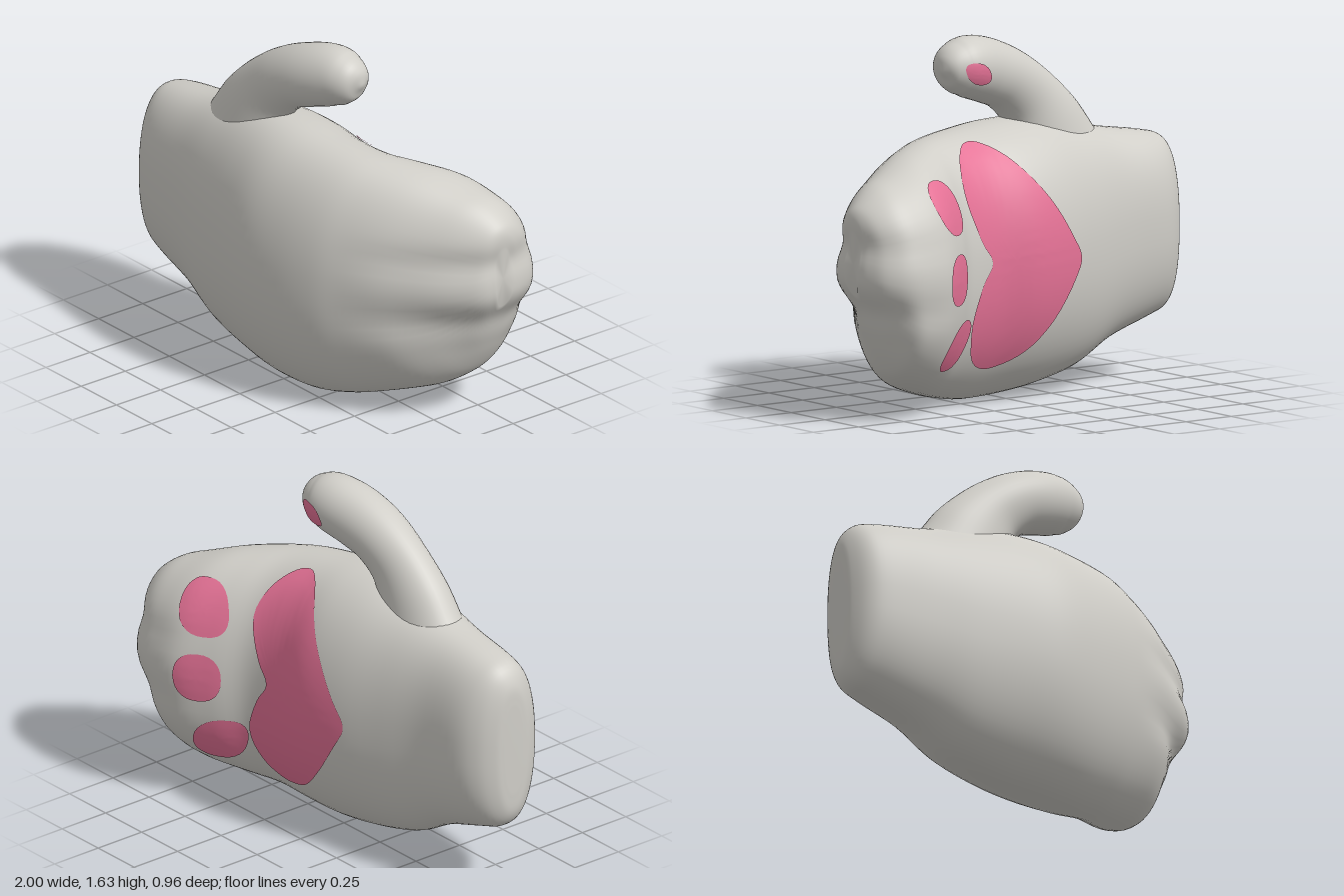
import * as THREE from 'three';

const SIDES = 64;
const smooth = THREE.MathUtils.smoothstep;
const signedPow = (v, p) => Math.sign(v) * Math.abs(v) ** p;

// Skin a list of equal rings and close both ends
function loft(rings) {
  const n = rings[0].length, last = (rings.length - 1) * n;
  const points = rings.flat(), index = [];
  for (let i = 0; i < rings.length - 1; i++) {
    for (let j = 0; j < n; j++) {
      const a = i * n + j, b = i * n + (j + 1) % n;
      index.push(a, b, a + n, b, b + n, a + n);
    }
  }
  const middle = ring => ring.reduce((s, p) => s.add(p), new THREE.Vector3()).divideScalar(n);
  const start = points.push(middle(rings[0])) - 1;
  const end = points.push(middle(rings[rings.length - 1])) - 1;
  for (let j = 0; j < n; j++) {
    const k = (j + 1) % n;
    index.push(start, k, j, end, last + j, last + k);
  }
  return finish(points, index);
}

function finish(points, index) {
  const geometry = new THREE.BufferGeometry().setFromPoints(points);
  geometry.setIndex(index);
  geometry.computeVertexNormals();
  return geometry;
}

// Mitten body: x, bottom, top, front z, back z, z of the top and bottom edge
const STATIONS = [
  [-1.0, 0.48, 0.90, 0.20, 0.10, 0.15],
  [-0.99, 0.37, 1.00, 0.25, 0.05, 0.15],
  [-0.94, 0.30, 1.08, 0.32, -0.02, 0.15],
  [-0.84, 0.265, 1.11, 0.36, -0.07, 0.15],
  [-0.62, 0.19, 1.145, 0.39, -0.10, 0.15],
  [-0.42, 0.085, 1.19, 0.43, -0.16, 0.15],
  [-0.2, 0.03, 1.23, 0.465, -0.23, 0.15],
  [0.0, 0.005, 1.23, 0.485, -0.26, 0.15],
  [0.2, 0.0, 1.21, 0.46, -0.235, 0.13],
  [0.37, 0.03, 1.19, 0.41, -0.26, 0.09],
  [0.5, 0.065, 1.17, 0.345, -0.36, 0.02],
  [0.64, 0.11, 1.14, 0.26, -0.455, -0.07],
  [0.78, 0.165, 1.09, 0.15, -0.475, -0.14],
  [0.88, 0.225, 1.05, 0.06, -0.455, -0.18],
  [0.96, 0.33, 0.99, -0.03, -0.39, -0.2],
  [0.995, 0.44, 0.94, -0.09, -0.31, -0.2],
  [1.005, 0.58, 0.86, -0.15, -0.25, -0.2],
];

function bodyGeometry() {
  const heights = new THREE.CatmullRomCurve3(
    STATIONS.map(s => new THREE.Vector3(s[0], s[1], s[2])), false, 'catmullrom', 0.5);
  const depths = new THREE.CatmullRomCurve3(
    STATIONS.map(s => new THREE.Vector3(s[3], s[4], s[5])), false, 'catmullrom', 0.5);
  const rings = [], steps = 80;
  for (let i = 0; i <= steps; i++) {
    const { x, y: low, z: high } = heights.getPoint(i / steps);
    const { x: front, y: back, z: mid } = depths.getPoint(i / steps);
    // boxier at the wrist, rounder over the palm and fingers
    const power = 2 / (2.3 - 0.2 * smooth(x, -0.8, -0.1));
    const ring = [];
    for (let j = 0; j < SIDES; j++) {
      const t = j / SIDES * Math.PI * 2;
      const y = (low + high) / 2 + (high - low) / 2 * signedPow(Math.cos(t), power);
      const w = signedPow(Math.sin(t), power);
      const depth = w * (w > 0 ? front - mid : mid - back);
      // grooves between the three fingers, and a shorter lowest finger
      const groove = Math.exp(-(((y - 0.8) / 0.065) ** 2)) * 0.7 + Math.exp(-(((y - 0.51) / 0.075) ** 2));
      const along = smooth(x, 0.4, 0.9);
      const shorter = 0.095 * smooth(x, 0.65, 1) * (1 - smooth(y, 0.34, 0.66));
      ring.push(new THREE.Vector3(
        x - shorter - 0.025 * groove * smooth(x, 0.75, 1),
        y,
        mid + depth * (1 - (w > 0 ? 0.14 : 0.05) * groove * along)));
    }
    rings.push(ring);
  }
  return loft(rings);
}

// Thumb: x, y, z, radius in the hand's plane, radius in depth
const THUMB = [
  [-0.37, 1.03, 0.15, 0.25, 0.16],
  [-0.31, 1.18, 0.15, 0.2, 0.14],
  [-0.22, 1.31, 0.145, 0.157, 0.125],
  [-0.1, 1.405, 0.135, 0.143, 0.13],
  [0.03, 1.46, 0.115, 0.145, 0.135],
  [0.15, 1.492, 0.085, 0.14, 0.13],
  [0.23, 1.495, 0.07, 0.118, 0.112],
  [0.285, 1.492, 0.055, 0.077, 0.074],
  [0.31, 1.488, 0.05, 0.012, 0.012],
];

function thumbGeometry() {
  const path = new THREE.CatmullRomCurve3(THUMB.map(s => new THREE.Vector3(s[0], s[1], s[2])), false, 'catmullrom', 0.5);
  const radii = new THREE.CatmullRomCurve3(THUMB.map(s => new THREE.Vector3(s[3], s[4], 0)), false, 'catmullrom', 0.5);
  const rings = [], steps = 40;
  for (let i = 0; i <= steps; i++) {
    const centre = path.getPoint(i / steps), r = radii.getPoint(i / steps);
    const tangent = path.getTangent(i / steps);
    const up = new THREE.Vector3(0, 0, 1).cross(tangent).normalize();
    const side = tangent.clone().cross(up);
    rings.push(Array.from({ length: 40 }, (_, j) => {
      const t = j / 40 * Math.PI * 2;
      return centre.clone().addScaledVector(up, r.x * Math.cos(t)).addScaledVector(side, r.y * Math.sin(t));
    }));
  }
  return loft(rings);
}

// Thin pad draped over the palm side of a mesh; outline runs clockwise in x, y
function padGeometry(target, centre, outline, layers) {
  const ray = new THREE.Raycaster(), forward = new THREE.Vector3(0, 0, 1);
  const drape = p => {
    ray.set(new THREE.Vector3(p.x, p.y, -2), forward);
    const hit = ray.intersectObject(target)[0];
    return hit ? hit.point.addScaledVector(hit.face.normal, 0.006) : new THREE.Vector3(p.x, p.y, 0);
  };
  const n = outline.length, points = [drape(centre)], index = [];
  for (let k = 1; k <= layers; k++) {
    for (const p of outline) points.push(drape(centre.clone().lerp(p, k / layers)));
  }
  for (let j = 0; j < n; j++) {
    const next = (j + 1) % n;
    index.push(0, 1 + j, 1 + next);
    for (let k = 0; k < layers - 1; k++) {
      const a = 1 + k * n + j, b = 1 + k * n + next;
      index.push(a, a + n, b, b, a + n, b + n);
    }
  }
  return finish(points, index);
}

// Oval leaning sideways by lean per unit of height
const oval = (x, y, rx, ry, lean) => Array.from({ length: 28 }, (_, i) => {
  const t = -i / 28 * Math.PI * 2;
  const dy = ry * signedPow(Math.sin(t), 0.85);
  return new THREE.Vector2(x + rx * signedPow(Math.cos(t), 0.85) + lean * dy, y + dy);
});

export function createModel() {
  const fabric = new THREE.MeshStandardMaterial({ color: 0xd0cec8 });
  fabric.name = 'light grey fabric';
  const pink = new THREE.MeshStandardMaterial({ color: 0xe57296 });
  pink.name = 'pink pad';

  const model = new THREE.Group();
  model.name = 'mitten';
  const add = (name, geometry, material) => {
    const mesh = new THREE.Mesh(geometry, material);
    mesh.name = name;
    model.add(mesh);
    return mesh;
  };

  const body = add('mittenBody', bodyGeometry(), fabric);
  const thumb = add('thumb', thumbGeometry(), fabric);

  // heart-like palm pad
  const heart = new THREE.SplineCurve([
    [0.13, 1.145], [0.2, 1.17], [0.28, 1.15], [0.35, 1.07], [0.375, 0.94], [0.31, 0.76], [0.25, 0.66],
    [0.31, 0.56], [0.365, 0.4], [0.335, 0.25], [0.26, 0.18], [0.16, 0.18], [0.03, 0.24], [-0.1, 0.37],
    [-0.22, 0.55], [-0.255, 0.64], [-0.2, 0.74], [-0.09, 0.91], [0.05, 1.08], [0.13, 1.145],
  ].map(p => new THREE.Vector2(...p))).getPoints(76).slice(0, -1);
  add('palmPad', padGeometry(body, new THREE.Vector2(0.12, 0.66), heart, 14), pink);

  // finger pads, top to bottom, then the thumb pad
  const dots = [
    ['upperFingerPad', body, 0.57, 0.945, 0.1, 0.12, 0.3],
    ['middleFingerPad', body, 0.55, 0.63, 0.09, 0.115, 0],
    ['lowerFingerPad', body, 0.495, 0.32, 0.105, 0.11, -0.45],
    ['thumbPad', thumb, 0.175, 1.475, 0.06, 0.05, 0.5],
  ];
  for (const [name, target, x, y, rx, ry, lean] of dots) {
    add(name, padGeometry(target, new THREE.Vector2(x, y), oval(x, y, rx, ry, lean), 6), pink);
  }
  return model;
}
